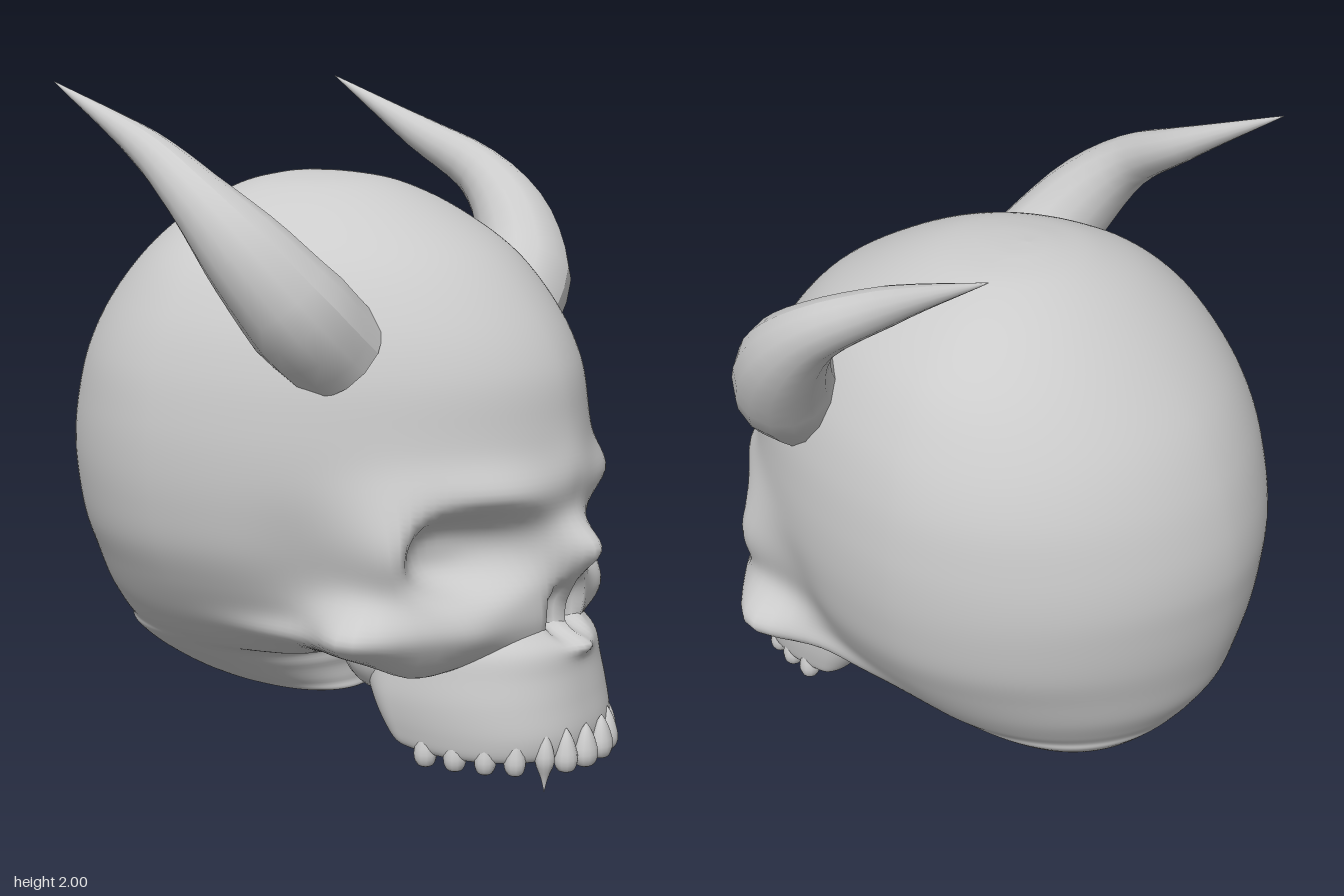
import * as THREE from 'three';

const material = new THREE.MeshStandardMaterial({ color: 0xcccccc, roughness: 0.8 });

function addMesh(group, name, geometry) {
  const mesh = new THREE.Mesh(geometry, material);
  mesh.name = name;
  group.add(mesh);
  return mesh;
}

// Loft of horizontal rings, top to bottom. Row: [y, zFront, zBack, halfWidth, zOfWidest, squareness]
function loft(rows, steps, sides, sculpt) {
  const spline = new THREE.CubicInterpolant(
    new Float32Array(rows.map((r, i) => i)), new Float32Array(rows.flat()), 6, new Float32Array(6));
  const n = (rows.length - 1) * steps;
  const positions = [], index = [];
  for (let i = 0; i <= n; i++) {
    const [y, zf, zb, w, zm, p] = spline.evaluate(i / steps);
    for (let j = 0; j < sides; j++) {
      const a = (j / sides) * Math.PI * 2, s = Math.sin(a), c = Math.cos(a);
      const v = new THREE.Vector3(
        w * Math.sign(s) * Math.abs(s) ** (2 / p), y,
        zm + (c > 0 ? zf - zm : zm - zb) * Math.sign(c) * Math.abs(c) ** (2 / p));
      press(v, sculpt);
      positions.push(v.x, v.y, v.z);
      if (i < n) {
        const k = (j + 1) % sides, t = i * sides, b = t + sides;
        index.push(t + j, b + j, b + k, t + j, b + k, t + k);
      }
    }
  }
  const g = new THREE.BufferGeometry();
  g.setAttribute('position', new THREE.Float32BufferAttribute(positions, 3));
  g.setIndex(index);
  g.computeVertexNormals();
  return g;
}

// Mirrored soft pushes: at = centre, r = radii, d = displacement, hard = steeper rim
function press(v, sculpt) {
  for (const { at, r, d, hard = 1 } of sculpt) {
    const side = v.x < 0 ? -1 : 1;
    const q = ((Math.abs(v.x) - at[0]) / r[0]) ** 2 + ((v.y - at[1]) / r[1]) ** 2 + ((v.z - at[2]) / r[2]) ** 2;
    const f = Math.exp(-(q ** hard));
    v.x += side * d[0] * f * Math.min(1, Math.abs(v.x) / 0.05);
    v.y += d[1] * f;
    v.z += d[2] * f;
  }
}

const craniumRows = [
  [1.732, -0.1495, -0.1505, 0.0005, -0.15, 2],
  [1.724, 0.02, -0.23, 0.11, -0.14, 2],
  [1.695, 0.16, -0.34, 0.24, -0.14, 2],
  [1.62, 0.33, -0.475, 0.39, -0.16, 2],
  [1.5, 0.52, -0.62, 0.53, -0.17, 1.95],
  [1.35, 0.66, -0.755, 0.625, -0.18, 1.9],
  [1.2, 0.745, -0.84, 0.68, -0.2, 1.87],
  [1.05, 0.775, -0.89, 0.705, -0.2, 1.85],
  [0.92, 0.785, -0.91, 0.71, -0.2, 1.85],
  [0.8, 0.785, -0.905, 0.7, -0.2, 1.85],
  [0.68, 0.785, -0.89, 0.675, -0.2, 1.85],
  [0.57, 0.79, -0.865, 0.625, -0.2, 1.86],
  [0.47, 0.785, -0.835, 0.565, -0.22, 1.9],
  [0.39, 0.74, -0.79, 0.505, -0.24, 1.95],
  [0.345, 0.6, -0.76, 0.46, -0.26, 2],
  [0.31, 0.12, -0.73, 0.42, -0.3, 2.2],
  [0.24, 0.06, -0.655, 0.335, -0.3, 2.3],
  [0.17, 0.055, -0.52, 0.24, -0.26, 2.3],
  [0.135, 0.04, -0.36, 0.16, -0.17, 2.3],
  [0.13, -0.1495, -0.1505, 0.001, -0.15, 2],
];

// Nasal opening, shared by the face and the top of the jaw
const nasalOpening = { at: [0.045, 0.5, 0.78], r: [0.045, 0.08, 0.25], d: [0, 0, -0.055], hard: 2 };

const faceSculpt = [
  // temple hollow
  { at: [0.55, 0.66, 0.27], r: [0.2, 0.15, 0.14], d: [-0.02, 0, 0] },
  // brow ridge and space between the brows
  { at: [0.28, 0.87, 0.65], r: [0.23, 0.08, 0.3], d: [0.01, 0, 0.05] },
  { at: [0, 0.92, 0.8], r: [0.1, 0.08, 0.2], d: [0, 0, 0.015] },
  // outer eye rim
  { at: [0.45, 0.71, 0.45], r: [0.14, 0.15, 0.15], d: [0.06, 0, 0.1] },
  // cheekbone: front plane, outer tip, lower edge
  { at: [0.37, 0.47, 0.52], r: [0.19, 0.12, 0.2], d: [0.02, 0, 0.12] },
  { at: [0.5, 0.46, 0.45], r: [0.15, 0.1, 0.17], d: [0.195, 0, 0] },
  { at: [0.42, 0.37, 0.55], r: [0.13, 0.06, 0.13], d: [0.03, -0.045, 0] },
  // zygomatic arch
  { at: [0.55, 0.43, 0.18], r: [0.2, 0.05, 0.2], d: [0.04, 0, 0] },
  // eye socket
  { at: [0.32, 0.705, 0.65], r: [0.18, 0.115, 0.4], d: [0, 0, -0.125], hard: 1.8 },
  // nose bridge
  { at: [0, 0.69, 0.8], r: [0.075, 0.075, 0.2], d: [0, 0, 0.1] },
  nasalOpening,
  // hollow underside behind the cheeks
  { at: [0.2, 0.33, 0.3], r: [0.17, 0.1, 0.15], d: [0, 0.13, 0] },
];

// Upper jaw; the last rows turn up into a hollow palate
const jawRows = [
  [0.57, 0.7, 0.3, 0.2, 0.42, 2],
  [0.51, 0.755, 0.25, 0.26, 0.42, 2],
  [0.45, 0.79, 0.22, 0.315, 0.41, 2.05],
  [0.4, 0.825, 0.2, 0.345, 0.4, 2.15],
  [0.33, 0.835, 0.2, 0.355, 0.4, 2.25],
  [0.25, 0.85, 0.235, 0.36, 0.4, 2.35],
  [0.16, 0.865, 0.28, 0.35, 0.42, 2.4],
  [0.1, 0.85, 0.33, 0.33, 0.44, 2.4],
  [0.1, 0.8, 0.37, 0.28, 0.46, 2.4],
  [0.19, 0.75, 0.4, 0.23, 0.48, 2.3],
  [0.23, 0.5505, 0.5495, 0.0005, 0.55, 2],
];

const jawSculpt = [
  nasalOpening,
  // nasal spine
  { at: [0, 0.405, 0.82], r: [0.06, 0.025, 0.1], d: [0, 0, 0.035] },
  // open rear of the palate
  { at: [0, 0.1, 0.33], r: [0.22, 0.14, 0.14], d: [0, 0.18, 0] },
];

// Tapering horn on a curve, its root sunk in the cranium
function horn(side) {
  const path = new THREE.CatmullRomCurve3([
    [0.45, 1.255, 0.29], [0.59, 1.38, 0.255], [0.69, 1.55, 0.15],
    [0.72, 1.69, 0.01], [0.675, 1.82, -0.21], [0.68, 2, -0.555],
  ].map(([x, y, z]) => new THREE.Vector3(side * x, y, z)));
  const radii = [0.15, 0.155, 0.125, 0.085, 0.055, 0.001];
  const n = 20, sides = 14;
  const g = new THREE.TubeGeometry(path, n, 1, sides);
  const pos = g.attributes.position, v = new THREE.Vector3();
  for (let i = 0; i <= n; i++) {
    const centre = path.getPointAt(i / n);
    const t = path.getUtoTmapping(i / n) * 5, k = Math.min(4, Math.floor(t));
    const radius = THREE.MathUtils.lerp(radii[k], radii[k + 1], t - k);
    for (let j = 0; j <= sides; j++) {
      const id = i * (sides + 1) + j;
      v.fromBufferAttribute(pos, id).sub(centre).multiplyScalar(radius).add(centre);
      pos.setXYZ(id, v.x, v.y, v.z);
    }
  }
  g.computeVertexNormals();
  return g;
}

const lathe = (points) => new THREE.LatheGeometry(
  new THREE.SplineCurve(points.map(([x, y]) => new THREE.Vector2(x, y))).getPoints(12)
    .map((p) => new THREE.Vector2(Math.max(0, p.x), p.y)), 12);

export function createModel() {
  const group = new THREE.Group();
  group.name = 'hornedSkull';

  addMesh(group, 'cranium', loft(craniumRows, 7, 160, faceSculpt));
  addMesh(group, 'upperJaw', loft(jawRows, 6, 120, jawSculpt));

  const toothShape = lathe([[0, 0.06], [0.026, 0.065], [0.038, 0.1], [0.022, 0.155], [0, 0.19]]);
  const fangShape = lathe([[0, 0.005], [0.012, 0.05], [0.032, 0.1], [0.022, 0.15], [0, 0.19]]);
  // x, z, width and yaw of each tooth on one side
  const teeth = [
    [0.045, 0.872, 1.1, 0.1], [0.12, 0.85, 0.95, 0.35], [0.18, 0.815, 0.9, 0.6], [0.235, 0.75, 0.85, 0.9],
    [0.275, 0.675, 0.85, 1.1], [0.302, 0.59, 0.9, 1.25], [0.318, 0.5, 0.9, 1.4],
  ];

  for (const side of [1, -1]) {
    const label = side > 0 ? 'left' : 'right';
    addMesh(group, label + 'Horn', horn(side));

    // rounded back of the eye socket, under the face
    const orbit = addMesh(group, label + 'OrbitBack', new THREE.SphereGeometry(0.16, 24, 16));
    orbit.position.set(side * 0.2, 0.38, 0.31);

    teeth.forEach(([x, z, s, yaw], i) => {
      const fang = i === 2;
      const tooth = addMesh(group, label + (fang ? 'Fang' : 'Tooth' + (i + 1)), fang ? fangShape : toothShape);
      tooth.position.set(side * x, 0, z);
      tooth.rotation.y = side * yaw;
      tooth.scale.set(s, 1, 0.9);
    });
  }
  return group;
}
